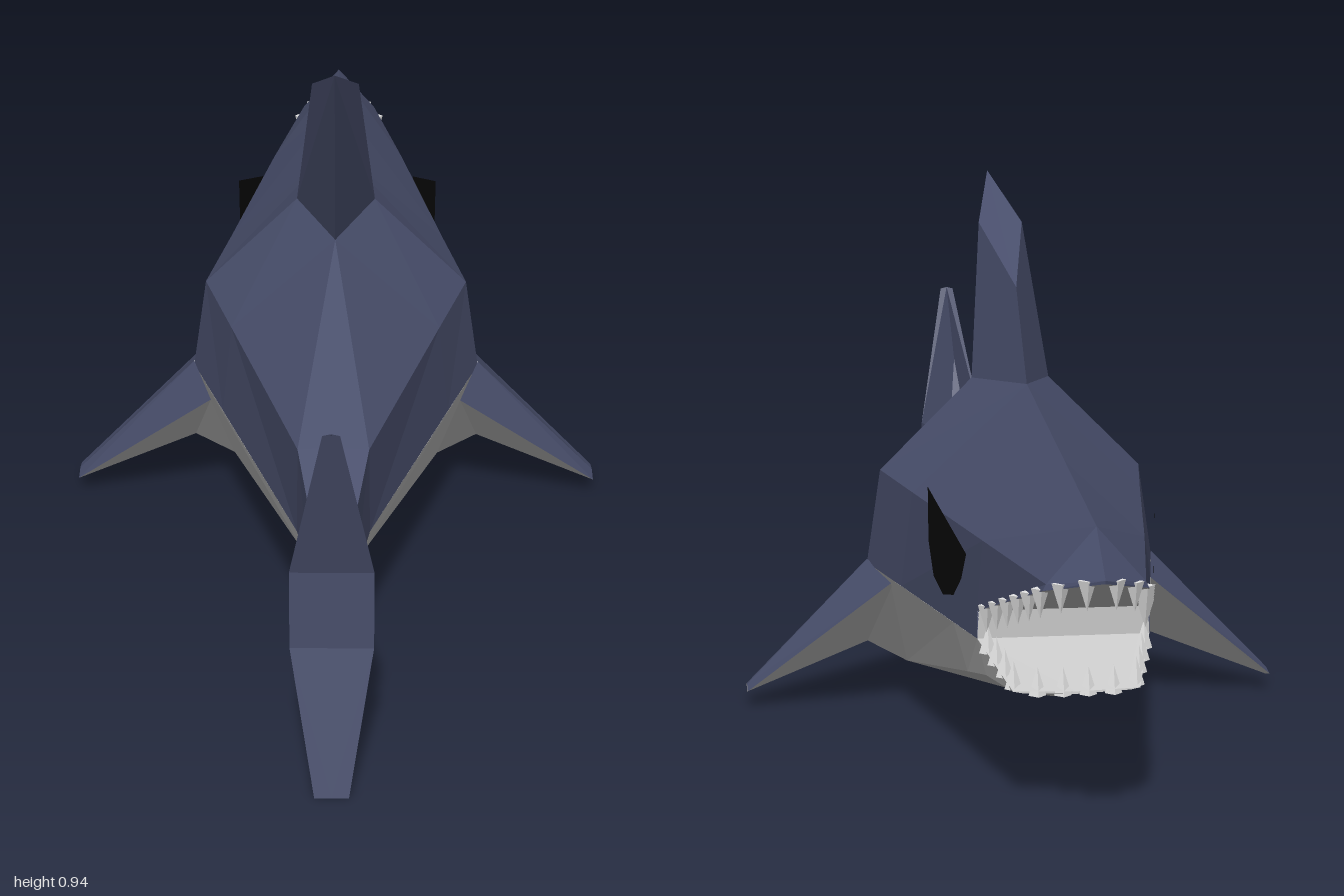
import * as THREE from 'three';

const material = (name, color) => {
  const m = new THREE.MeshStandardMaterial({ color, side: THREE.DoubleSide });
  m.name = name;
  return m;
};

// Flat-shaded skin between rows of points, mirrored in x.
// Faces are turned away from ref; a null z in ref means "level with the face".
function skin(name, rows, mat, ref) {
  const pos = [];
  const tri = (...p) => {
    const [a, b, c] = p.map((q) => new THREE.Vector3(...q));
    const n = b.clone().sub(a).cross(c.clone().sub(a));
    if (n.length() < 1e-7) return;
    const mid = a.clone().add(b).add(c).divideScalar(3);
    const out = mid.clone().sub(new THREE.Vector3(ref[0], ref[1], ref[2] ?? mid.z));
    const order = n.dot(out) < 0 ? [a, c, b] : [a, b, c];
    for (const v of order) pos.push(v.x, v.y, v.z);
    for (const v of [order[0], order[2], order[1]]) pos.push(-v.x, v.y, v.z);
  };
  for (let r = 0; r < rows.length - 1; r++) {
    for (let i = 0; i < rows[r].length - 1; i++) {
      const a = rows[r][i], b = rows[r][i + 1], c = rows[r + 1][i + 1], d = rows[r + 1][i];
      tri(a, b, c);
      tri(a, c, d);
    }
  }
  const g = new THREE.BufferGeometry();
  g.setAttribute('position', new THREE.Float32BufferAttribute(pos, 3));
  g.computeVertexNormals();
  const mesh = new THREE.Mesh(g, mat);
  mesh.name = name;
  return mesh;
}

// Cross-section at z from [x, y] pairs
const at = (z, ...pts) => pts.map(([x, y]) => [x, y, z]);

export function createModel() {
  const blue = material('slateBlue', 0x484e6b);
  const grey = material('bellyGrey', 0xc8c8c8);
  const white = material('toothWhite', 0xe6e6e6);
  const black = material('eyeBlack', 0x0a0a0a);
  const model = new THREE.Group();
  model.name = 'shark';

  // Back and flanks: ridge, shoulder, lower edge from nose to tail root
  model.add(skin('upperBody', [
    at(-1, [0, 0.425], [0, 0.425], [0, 0.42]),
    at(-0.92, [0, 0.49], [0.075, 0.405], [0.08, 0.395]),
    at(-0.62, [0, 0.539], [0.13, 0.413], [0.139, 0.3]),
    at(-0.62, [0, 0.539], [0.13, 0.413], [0.139, 0.255]),
    at(-0.21, [0, 0.605], [0.2, 0.42], [0.22, 0.255]),
    at(0, [0.07, 0.59], [0.237, 0.425], [0.262, 0.255]),
    at(0.18, [0, 0.59], [0.183, 0.42], [0.201, 0.255]),
    at(0.6, [0, 0.412], [0.058, 0.408], [0.06, 0.255]),
    at(0.7, [0, 0.37], [0.04, 0.366], [0.04, 0.255]),
    at(0.78, [0, 0.36], [0.02, 0.36], [0.02, 0.255]),
  ], blue, [0, 0.3, null]));

  // Belly and lower jaw: edge, crease, keel
  const bellyEnd = at(0.6, [0.06, 0.255], [0.05, 0.218], [0, 0.212]);
  model.add(skin('belly', [
    at(-0.75, [0.1, 0.2], [0.085, 0.197], [0, 0.193]),
    at(-0.62, [0.139, 0.255], [0.125, 0.195], [0, 0.158]),
    at(-0.5, [0.163, 0.255], [0.14, 0.172], [0, 0.125]),
    at(0, [0.262, 0.255], [0.19, 0.07], [0, 0.01]),
    bellyEnd,
  ], grey, [0, 0.3, null]));
  model.add(skin('tailRootUnderside', [
    bellyEnd,
    at(0.78, [0.02, 0.255], [0.015, 0.255], [0, 0.255]),
  ], blue, [0, 0.3, null]));

  // Open mouth
  model.add(skin('palate', [
    at(-0.62, [0.139, 0.3], [0, 0.3]),
    at(-0.92, [0.08, 0.395], [0, 0.395]),
    at(-1, [0, 0.42], [0, 0.42]),
  ], grey, [0, 1, null]));
  model.add(skin('throat', [
    at(-0.62, [0.139, 0.3], [0, 0.3]),
    at(-0.62, [0.139, 0.255], [0, 0.255]),
  ], grey, [0, 0.28, 0]));
  model.add(skin('jawFloor', [
    at(-0.62, [0.139, 0.255], [0, 0.255]),
    at(-0.75, [0.1, 0.2], [0, 0.197]),
  ], grey, [0, -1, null]));

  // Dorsal fin: front edge, side ridge, rear edge, then the sloping top
  const finFront = [0, 0.76, -0.08], finRidge = [0.04, 0.86, 0.13], finTip = [0, 0.945, 0.315];
  model.add(skin('dorsalFin', [
    [[0, 0.605, -0.21], finFront],
    [[0.07, 0.59, 0], finRidge],
    [[0, 0.59, 0.18], finTip],
  ], blue, [0, 0.7, 0.06]));
  model.add(skin('dorsalFinTop', [[finFront, finRidge], [finFront, finTip]], blue, [0, 0.7, 0.06]));

  // Tail fin levels: leading [halfWidth, y, z], trailing [halfWidth, y, z]
  const tailLevels = [
    [[0, 0.655, 1], [0.013, 0.652, 1]],
    [[0, 0.515, 0.865], [0.065, 0.37, 0.915]],
    [[0.02, 0.36, 0.78], [0.065, 0.37, 0.915]],
    [[0.02, 0.255, 0.78], [0.065, 0.235, 0.915]],
    [[0, 0.1, 0.885], [0.065, 0.235, 0.915]],
    [[0, 0.004, 0.97], [0.027, 0, 0.977]],
  ];
  model.add(skin('tailFin', tailLevels.map(([l, t]) =>
    [[0, l[1], l[2]], l, t, [0, t[1], t[2]]]), blue, [0, 0.305, 0.88]));

  // Pectoral fins: blue above, grey below
  const rootA = [0.225, 0.25, -0.14], rootB = [0.225, 0.25, 0.13];
  const tipA = [0.482, 0.03, -0.03], tipB = [0.482, 0.03, 0.03], tipTop = [0.482, 0.036, 0];
  const core = [0.33, 0.14, 0];
  model.add(skin('pectoralFinTops', [
    [rootA, [0.262, 0.262, 0], rootB],
    [tipA, tipTop, tipB],
  ], blue, core));
  model.add(skin('pectoralFinUndersides', [
    [rootA, [0.19, 0.07, 0], rootB],
    [rootA, [0.262, 0.11, 0], rootB],
    [tipA, [0.482, 0.022, 0], tipB],
    [tipA, tipTop, tipB],
  ], grey, core));

  // Eyes: flat plates just off the flanks, [z, y] outline
  const eye = [[-0.385, 0.46], [-0.585, 0.385], [-0.56, 0.34], [-0.52, 0.305],
    [-0.465, 0.294], [-0.415, 0.315], [-0.388, 0.37]]
    .map(([z, y]) => [0.268 + 0.198 * z, y, z]);
  const hub = [0.268 - 0.198 * 0.47, 0.37, -0.47];
  model.add(skin('eyes', [...eye, eye[0]].map((p) => [hub, p]), black, [0, 0.37, null]));

  // Teeth: small four-sided cones along the jaw edges
  const tooth = new THREE.ConeGeometry(0.014, 0.046, 4).toNonIndexed();
  tooth.computeVertexNormals();
  const teeth = new THREE.Group();
  teeth.name = 'teeth';
  const toothRow = (name, from, to, count, dir) => {
    const a = new THREE.Vector3(...from), b = new THREE.Vector3(...to);
    for (let i = 0; i < count; i++) {
      for (const s of [1, -1]) {
        const m = new THREE.Mesh(tooth, white);
        m.name = name;
        m.position.lerpVectors(a, b, (i + 0.5) / count);
        m.position.x *= s;
        m.position.y += dir * 0.016;
        if (dir < 0) m.rotation.x = Math.PI;
        teeth.add(m);
      }
    }
  };
  toothRow('upperTooth', [0.132, 0.3, -0.62], [0.075, 0.395, -0.92], 6, -1);
  toothRow('upperFrontTooth', [0.072, 0.397, -0.92], [0.005, 0.418, -0.985], 2, -1);
  toothRow('lowerTooth', [0.13, 0.25, -0.63], [0.092, 0.2, -0.745], 4, 1);
  toothRow('lowerFrontTooth', [0.08, 0.197, -0.738], [0, 0.195, -0.738], 2, 1);
  model.add(teeth);

  return model;
}
